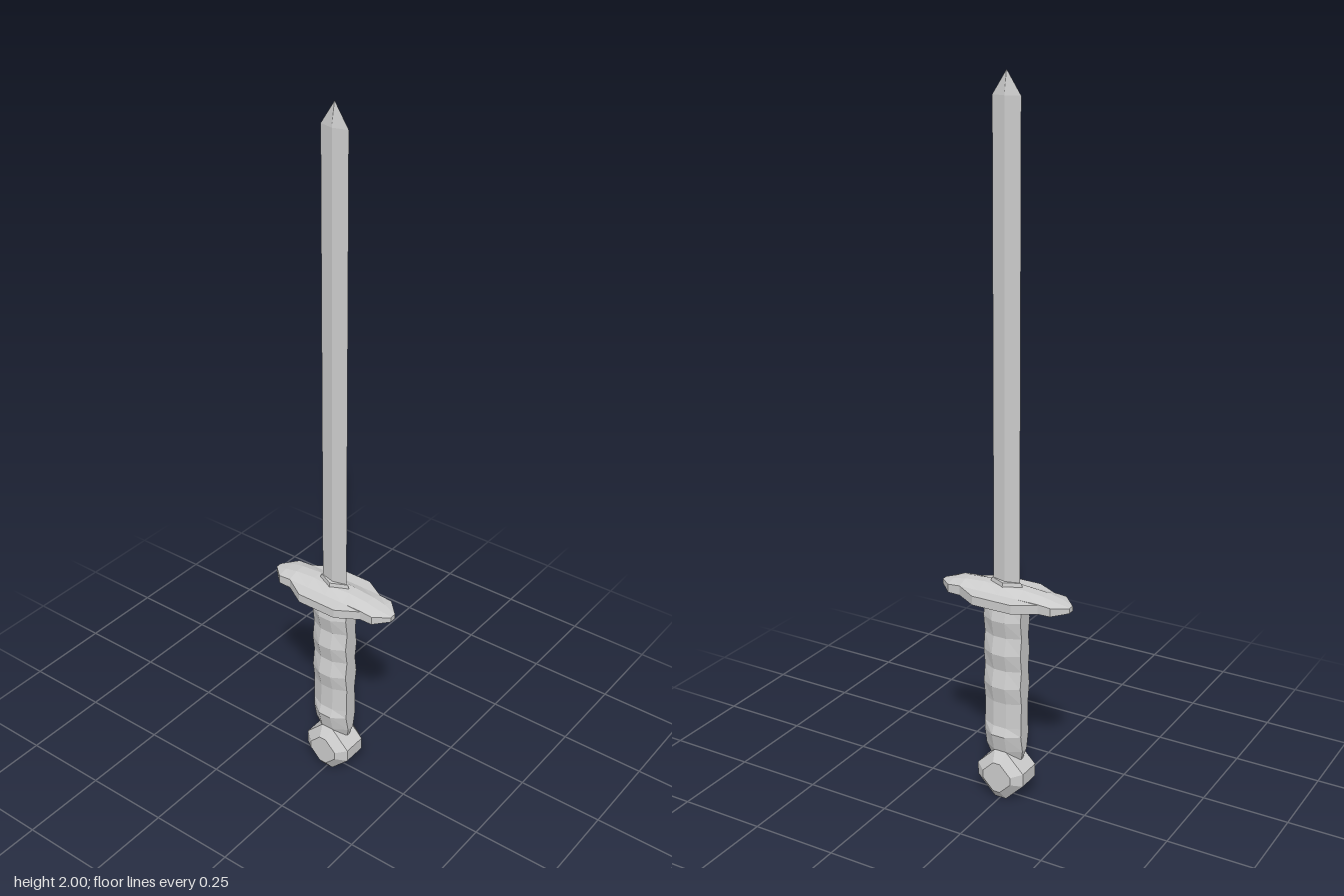
import * as THREE from 'three';

const material = new THREE.MeshStandardMaterial({ color: 0xcccccc, flatShading: true });

// Closed solid through a list of equal-length rings of [x, y, z] points.
function loft(name, rings) {
  const tris = [];
  const n = rings[0].length;
  for (let r = 0; r < rings.length - 1; r++) {
    for (let i = 0; i < n; i++) {
      const j = (i + 1) % n;
      const [a, b, c, d] = [rings[r][i], rings[r][j], rings[r + 1][j], rings[r + 1][i]];
      tris.push([a, b, c], [a, c, d]);
    }
  }
  const first = rings[0], last = rings[rings.length - 1];
  for (let i = 1; i < n - 1; i++) {
    tris.push([first[0], first[i + 1], first[i]], [last[0], last[i], last[i + 1]]);
  }
  // Signed volume tells whether the faces point outward
  const v = (p) => new THREE.Vector3(...p);
  const volume = tris.reduce((s, [a, b, c]) => s + v(a).dot(v(b).cross(v(c))), 0);
  if (volume < 0) tris.forEach((t) => t.reverse());
  const geometry = new THREE.BufferGeometry();
  geometry.setAttribute('position', new THREE.Float32BufferAttribute(tris.flat(2), 3));
  geometry.computeVertexNormals();
  const mesh = new THREE.Mesh(geometry, material);
  mesh.name = name;
  return mesh;
}

const diamond = (x, z, y) => [[x, y, 0], [0, y, -z], [-x, y, 0], [0, y, z]];

export function createModel() {
  const group = new THREE.Group();
  group.name = 'sword';

  // Slim diamond-section blade with a short point
  group.add(loft('blade', [
    diamond(0.011, 0.041, 0.63), diamond(0.011, 0.041, 1.94), diamond(0.001, 0.001, 2),
  ]));

  // Diamond collar at the blade's root
  group.add(loft('collar', [diamond(0.026, 0.055, 0.635), diamond(0.022, 0.045, 0.656)]));

  // Guard: sections along z as [z, half width, bottom, edge top, ridge top]
  const half = [
    [0.198, 0.01, 0.606, 0.618, 0.621],
    [0.16, 0.046, 0.602, 0.624, 0.632],
    [0.122, 0.046, 0.601, 0.627, 0.64],
    [0.06, 0.083, 0.601, 0.627, 0.645],
  ];
  const stations = [
    ...half.map(([z, ...s]) => [-z, ...s]),
    [0, 0.083, 0.601, 0.627, 0.645],
    ...half.slice().reverse(),
  ];
  group.add(loft('guard', stations.map(([z, w, bottom, edge, ridge]) => {
    const shoulder = Math.min(w, 0.046);
    const inner = Math.min(w * 0.8, z === 0 ? 0.022 : 0.015);
    return [
      [-w, bottom, z], [w, bottom, z], [w, edge, z], [shoulder, edge + 0.002, z], [inner, ridge, z],
      [-inner, ridge, z], [-shoulder, edge + 0.002, z], [-w, edge, z],
    ];
  })));

  // Octagonal grip, swelling and narrowing every 0.05
  const gripRing = (y, a, b, z) => [
    [a, y, 0.02], [b, y, z], [-b, y, z], [-a, y, 0.02],
    [-a, y, -0.02], [-b, y, -z], [b, y, -z], [a, y, -0.02],
  ];
  const gripRings = [gripRing(0.12, 0.022, 0.004, 0.05), gripRing(0.15, 0.036, 0.012, 0.058)];
  for (let i = 0; i <= 8; i++) {
    const swell = i % 2 === 0;
    gripRings.push(gripRing(0.2 + i * 0.05, swell ? 0.037 : 0.048, swell ? 0.019 : 0.026, 0.058));
  }
  gripRings[2] = gripRing(0.2, 0.048, 0.022, 0.058);
  gripRings[3] = gripRing(0.225, 0.038, 0.02, 0.058);
  group.add(loft('grip', gripRings));

  // Faceted pommel: clipped diamond outline, bevelled towards both sides
  const outline = [
    [0.018, 0.074], [0.073, 0.019], [0.073, -0.019], [0.018, -0.074],
    [-0.018, -0.074], [-0.073, -0.019], [-0.073, 0.019], [-0.018, 0.074],
  ];
  group.add(loft('pommel', [[-0.058, 0.6], [-0.035, 1], [0.035, 1], [0.058, 0.6]].map(
    ([x, s]) => outline.map(([z, y]) => [x, 0.074 + y * s, z * s]))));

  return group;
}
